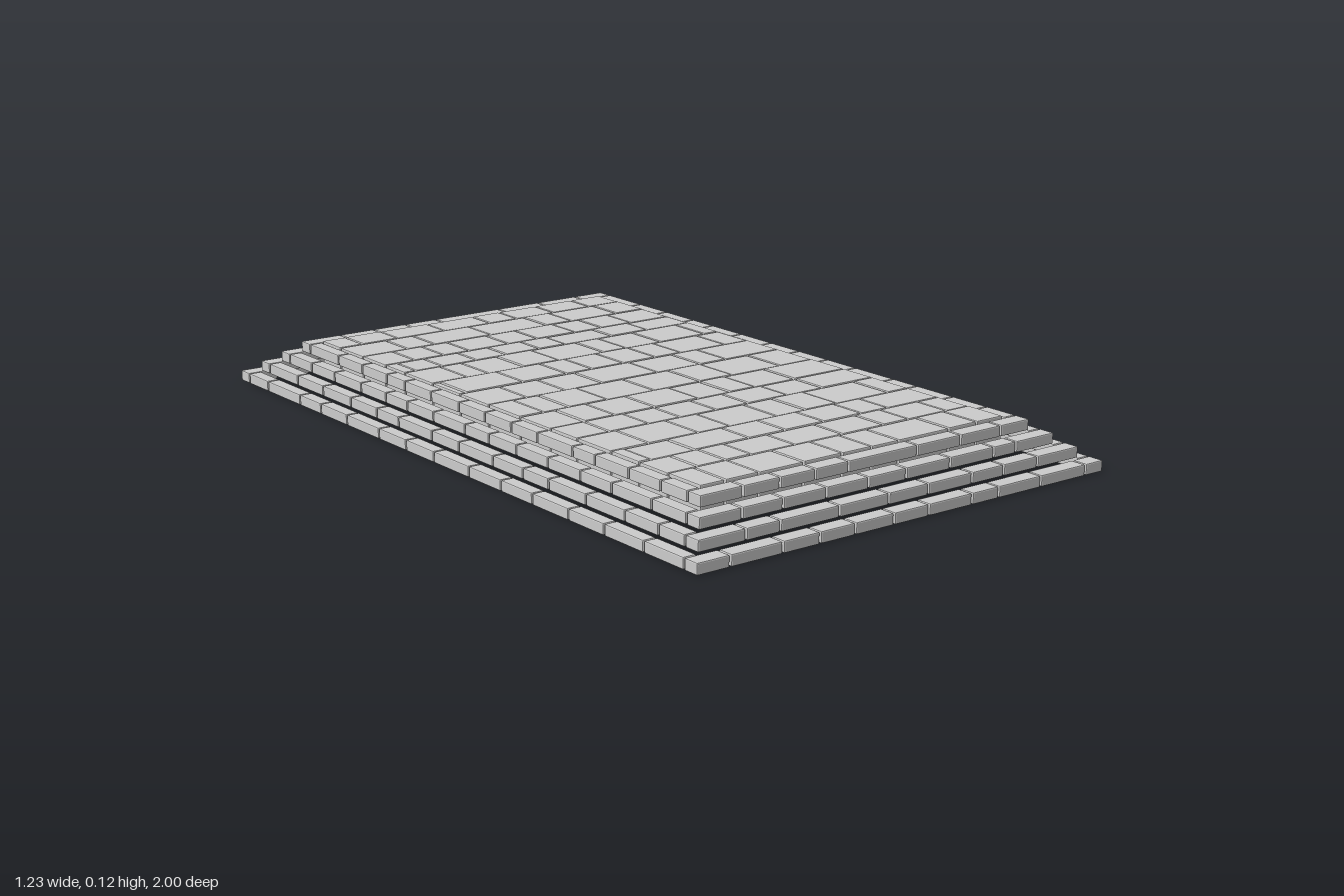
import * as THREE from 'three';
import { RoundedBoxGeometry } from 'three/addons/geometries/RoundedBoxGeometry.js';

const material = new THREE.MeshStandardMaterial({ color: 0xcccccc, flatShading: true });
const GAP = 0.005;

// Small seeded generator for irregular brick lengths
let seed = 7;
function random() {
  seed = (seed * 16807) % 2147483647;
  return seed / 2147483647;
}

// Stone with slightly chamfered edges, given by its bounds
function stone(name, x0, x1, y0, y1, z0, z1) {
  const geometry = new RoundedBoxGeometry(x1 - x0, y1 - y0, z1 - z0, 1, 0.003);
  const mesh = new THREE.Mesh(geometry, material);
  mesh.position.set((x0 + x1) / 2, (y0 + y1) / 2, (z0 + z1) / 2);
  mesh.name = name;
  return mesh;
}

// Calls place(start, end) for each stone between the joints of a course
function course(half, joints, place) {
  const cuts = [-half, ...joints, half];
  for (let i = 0; i + 1 < cuts.length; i++) {
    place(cuts[i] + (i > 0 ? GAP / 2 : 0), cuts[i + 1] - (i + 2 < cuts.length ? GAP / 2 : 0));
  }
}

// Joints of the short courses, bottom step first (hundredths)
const stepJoints = [
  [-52.5, -38, -27.5, -17.3, -5.8, 4.8, 18.3, 26.8, 40.6, 55.7],
  [-44.6, -35, -18, -3.3, 8.8, 22.6, 32.8, 44],
  [-42, -30.4, -17.9, -5.4, 6.1, 19.9, 34, 41.3],
  [-38, -27.5, -17.3, -7.4, 13.7, 27.5, 40.6],
];

// Row boundaries of the paving along z, and joints across each row (hundredths)
const rowEdges = [-82.3, -72.7, -61, -49.5, -40, -26.7, -14, -1.3, 12.4, 25, 35.7, 48.9, 59.5, 70, 81.8];
const pavingJoints = [
  [-39, -28, -13, 2, 11, 23.5, 36],
  [-32, -23.5, -5.5, 13, 21.5, 37],
  [-37, -28, -20, -7.5, 2, 14.5, 23.5, 33.5],
  [-42.5, -34.5, -24, -14.5, -4, 4.5, 20, 32],
  [-35.5, -29, -18, -7, 7.5, 15, 26.5, 41.5],
  [-44, -27, -13.5, -5.5, 4.5, 15, 23.5, 38.5],
  [-34.5, -23, -11.5, 6, 20, 28.5],
  [-39, -31.5, -20, -5.5, 9, 19.5, 35.5],
  [-36, -27, -15, -1.5, 8.5, 16.5, 29.5],
  [-36.5, -25, -15.5, -4.5, 5.5, 18, 29.5],
  [-35, -20.5, -11, 3.5, 12.5, 22.5, 39.5],
  [-42.5, -30, -14, -3, 9, 21, 29.5],
  [-37.5, -29.5, -22, -9, 5.5, 18.5, 26.5, 39],
  [-39, -29.5, -16.5, -5, 4, 12.5, 28.5, 37.5],
];

export function createModel() {
  const model = new THREE.Group();
  model.name = 'steppedPlatform';

  // Four stepped rings of bricks
  for (let t = 0; t < 4; t++) {
    const step = new THREE.Group();
    step.name = `step${t + 1}`;
    const hx = 0.615 - 0.0383 * t;
    const hz = 1 - 0.045 * t;
    const y0 = 0.0303 * t;
    const y1 = y0 + 0.028;
    const inner = hz - 0.0425;

    // Front and back courses run the full width
    for (const side of [-1, 1]) {
      const z = [side * hz, side * inner].sort((a, b) => a - b);
      course(hx, stepJoints[t].map(v => v / 100), (a, b) =>
        step.add(stone('endBrick', a, b, y0, y1, z[0], z[1])));
    }

    // Side courses fit between them
    const count = 14;
    const hs = inner - GAP;
    const joints = [];
    for (let i = 1; i < count; i++) {
      joints.push(-hs + (2 * hs / count) * (i + (random() - 0.5) * 0.3 + (t % 2 ? 0.25 : -0.1)));
    }
    for (const side of [-1, 1]) {
      const x = [side * hx, side * (hx - 0.0345)].sort((a, b) => a - b);
      course(hs, joints, (a, b) => step.add(stone('sideBrick', x[0], x[1], y0, y1, a, b)));
    }
    model.add(step);
  }

  // Rows of thick paving blocks
  const paving = new THREE.Group();
  paving.name = 'paving';
  pavingJoints.forEach((row, i) => {
    const z0 = rowEdges[i] / 100 + GAP / 2;
    const z1 = rowEdges[i + 1] / 100 - GAP / 2;
    course(0.46, row.map(v => v / 100), (a, b) =>
      paving.add(stone('pavingBlock', a, b, 0.04, 0.121 + random() * 0.002, z0, z1)));
  });
  model.add(paving);
  return model;
}
